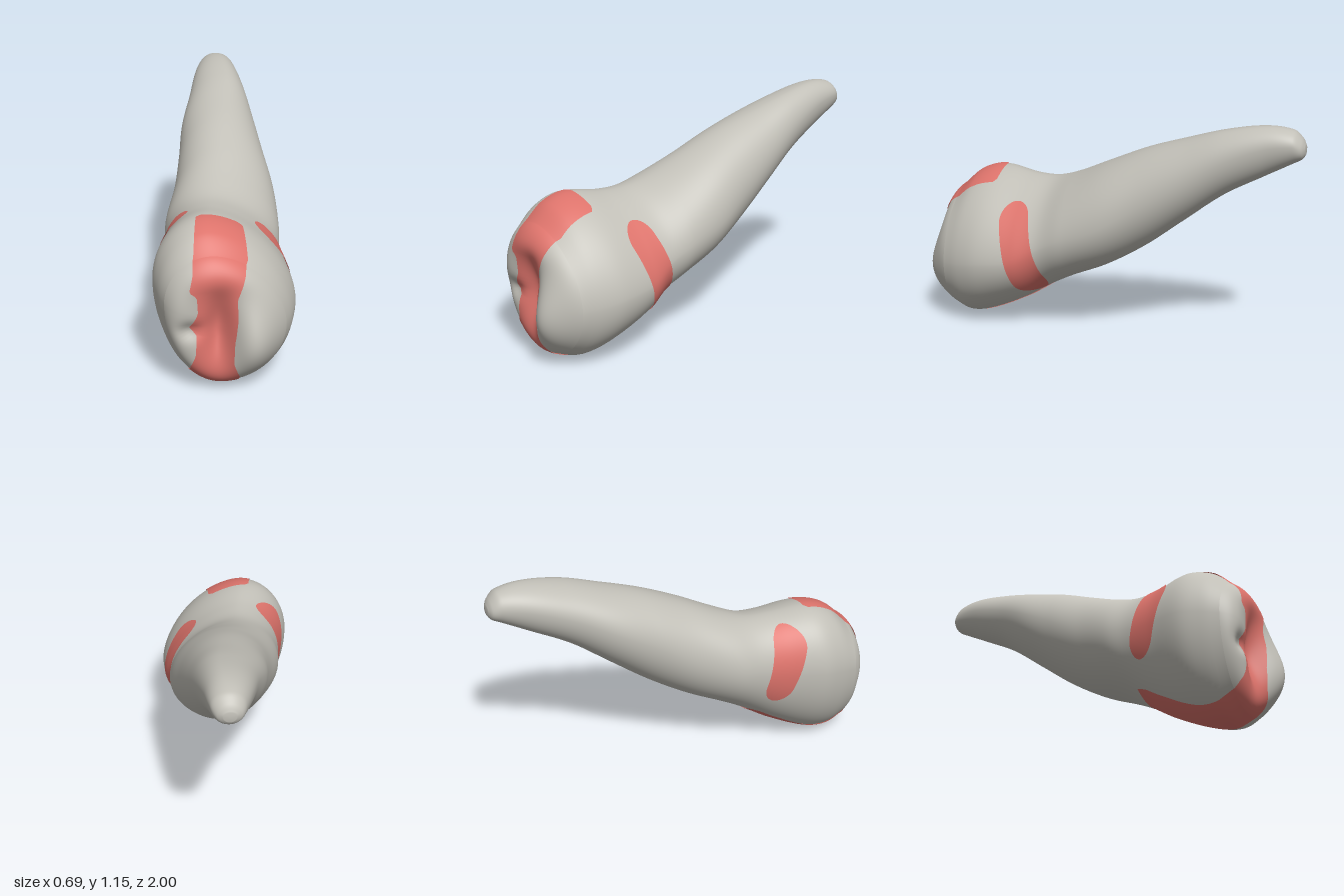
import * as THREE from 'three';

// Cross-sections along the tooth, from root tip to crown:
// z, top y, bottom y, -x side, +x side, x of top, x of bottom, y of -x side, y of +x side,
// roundness of the upper +x quarter (2 is an ellipse, less is flatter)
const SECTIONS = [
  [-1.0, 1.06, 1.01, 0.1, 0.16, 0.13, 0.13, 1.04, 1.04, 2],
  [-0.985, 1.09, 0.99, 0.07, 0.19, 0.13, 0.13, 1.04, 1.04, 2],
  [-0.94, 1.13, 0.965, 0.045, 0.215, 0.13, 0.13, 1.05, 1.06, 2],
  [-0.8, 1.143, 0.89, 0.0, 0.235, 0.14, 0.12, 1.03, 1.04, 2],
  [-0.6, 1.11, 0.78, -0.05, 0.262, 0.14, 0.11, 0.96, 0.96, 2],
  [-0.4, 1.05, 0.63, -0.11, 0.287, 0.11, 0.1, 0.86, 0.84, 2],
  [-0.2, 0.985, 0.48, -0.145, 0.31, 0.08, 0.09, 0.75, 0.72, 2],
  [0.0, 0.9, 0.36, -0.19, 0.335, 0.05, 0.07, 0.63, 0.6, 2],
  [0.2, 0.81, 0.27, -0.25, 0.33, 0.0, 0.04, 0.55, 0.51, 1.85],
  [0.33, 0.77, 0.2, -0.262, 0.313, -0.04, 0.01, 0.52, 0.45, 1.7],
  [0.46, 0.77, 0.12, -0.29, 0.338, -0.06, -0.01, 0.5, 0.38, 1.65],
  [0.65, 0.793, 0.03, -0.348, 0.342, -0.1, -0.03, 0.49, 0.35, 1.7],
  [0.77, 0.76, 0.002, -0.335, 0.31, -0.1, -0.03, 0.47, 0.33, 1.75],
  [0.86, 0.682, 0.035, -0.31, 0.265, -0.09, -0.03, 0.45, 0.32, 1.8],
];
const Z_CAP = 0.86;

// Smooth interpolation of the sections at any z
function section(z) {
  const S = SECTIONS, last = S.length - 1;
  let i = 0;
  while (i < last - 1 && z > S[i + 1][0]) i++;
  const h = S[i + 1][0] - S[i][0];
  const t = THREE.MathUtils.clamp((z - S[i][0]) / h, 0, 1);
  const slope = (k, c) => {
    const a = Math.max(k - 1, 0), b = Math.min(k + 1, last);
    return (S[b][c] - S[a][c]) / (S[b][0] - S[a][0]);
  };
  const v = [1, 2, 3, 4, 5, 6, 7, 8, 9].map((c) =>
    S[i][c] * (1 + 2 * t) * (1 - t) ** 2 + S[i + 1][c] * t * t * (3 - 2 * t) +
    h * (slope(i, c) * t * (1 - t) ** 2 + slope(i + 1, c) * t * t * (t - 1)));
  return { yt: v[0], yb: v[1], xl: v[2], xr: v[3], xt: v[4], xb: v[5], yl: v[6], yr: v[7], p: v[8] };
}

// Outline made of four quarter arcs
function outline(s, angle) {
  const c = Math.cos(angle), n = Math.sin(angle);
  const xm = n >= 0 ? s.xt : s.xb, ym = c >= 0 ? s.yr : s.yl;
  const e = c >= 0 && n >= 0 ? 2 / s.p : 1;
  return [
    xm + Math.abs(c) ** e * ((c >= 0 ? s.xr : s.xl) - xm),
    ym + Math.abs(n) ** e * ((n >= 0 ? s.yt : s.yb) - ym),
  ];
}
const arc = (q, p) => Math.max(0, 1 - Math.abs(q) ** p) ** (1 / p);

// y of the upper or lower surface above a given x
function surfaceY(s, x, upper) {
  const xm = upper ? s.xt : s.xb, right = x >= xm;
  const ym = right ? s.yr : s.yl;
  return ym + ((upper ? s.yt : s.yb) - ym) * arc((x - xm) / ((right ? s.xr : s.xl) - xm), right && upper ? s.p : 2);
}

// x of the side surface at a given y
function surfaceX(s, y, side) {
  const ym = side > 0 ? s.yr : s.yl, upper = y >= ym;
  const xm = upper ? s.xt : s.xb;
  return xm + ((side > 0 ? s.xr : s.xl) - xm) * arc((y - ym) / ((upper ? s.yt : s.yb) - ym), side > 0 && upper ? s.p : 2);
}

// Chewing surface: dome with cusps, central groove and side notch
// x, y, spread x, spread y, height
const BUMPS = [
  [0.11, 0.25, 0.12, 0.2, 0.085],
  [-0.26, 0.47, 0.07, 0.12, 0.015],
  [-0.07, 0.59, 0.15, 0.07, 0.02],
  [-0.055, 0.33, 0.07, 0.17, -0.075],
  [-0.2, 0.33, 0.06, 0.045, -0.035],
];
const capSection = section(Z_CAP);
function capZ(x, y) {
  const top = surfaceY(capSection, x, true), bottom = surfaceY(capSection, x, false);
  const w = 1 - Math.exp(-40 * Math.max(0, (top - y) * (y - bottom)));
  let z = Z_CAP + 0.065 * w;
  for (const [bx, by, sx, sy, h] of BUMPS) z += w * w * h * Math.exp(-(((x - bx) / sx) ** 2) - ((y - by) / sy) ** 2);
  return z;
}

function makeGeometry(positions, index) {
  const g = new THREE.BufferGeometry();
  g.setAttribute('position', new THREE.Float32BufferAttribute(positions, 3));
  g.setIndex(index);
  g.computeVertexNormals();
  return g;
}

// Root and crown in one skin
function bodyGeometry() {
  const N = 112, LOFT = 110, CAP = 44, pos = [], index = [];
  const rings = LOFT + CAP;
  for (let i = 0; i < rings; i++) {
    const z = -1 + (Z_CAP + 1) * Math.min(1, i / LOFT) ** 1.4;
    const s = section(z);
    const shrink = i <= LOFT ? 1 : Math.cos(((i - LOFT) / CAP) * Math.PI / 2);
    for (let j = 0; j < N; j++) {
      let [x, y] = outline(s, (j / N) * Math.PI * 2);
      x = -0.05 + (x + 0.05) * shrink;
      y = 0.38 + (y - 0.38) * shrink;
      pos.push(x, y, i <= LOFT ? z : capZ(x, y));
    }
  }
  for (let i = 0; i < rings - 1; i++) {
    for (let j = 0; j < N; j++) {
      const k = (j + 1) % N, a = i * N + j, b = i * N + k;
      index.push(a, b, a + N, b, b + N, a + N);
    }
  }
  const tip = rings * N;
  pos.push(0.13, 1.035, -1.002, -0.05, 0.38, capZ(-0.05, 0.38));
  for (let j = 0; j < N; j++) {
    const k = (j + 1) % N;
    index.push(tip, k, j, tip + 1, (rings - 1) * N + j, (rings - 1) * N + k);
  }
  return makeGeometry(pos, index);
}

// Grid lying on the skin, lifted slightly along its normals
function patchGeometry(rows, cols, point) {
  const pos = [], index = [], lift = 0.004;
  for (let r = 0; r <= rows; r++) for (let c = 0; c <= cols; c++) pos.push(...point(r / rows, c / cols));
  for (let r = 0; r < rows; r++) {
    for (let c = 0; c < cols; c++) {
      const a = r * (cols + 1) + c, b = a + cols + 1;
      index.push(a, b, a + 1, a + 1, b, b + 1);
    }
  }
  const g = makeGeometry(pos, index), p = g.attributes.position, n = g.attributes.normal;
  for (let i = 0; i < p.count; i++) {
    p.setXYZ(i, p.getX(i) + n.getX(i) * lift, p.getY(i) + n.getY(i) * lift, p.getZ(i) + n.getZ(i) * lift);
  }
  return g;
}

// Band edges: station (0-1 top, 1-2 chewing face, 2-3 underside), -x edge, +x edge
const BAND = [
  [0, -0.115, 0.055], [0.07, -0.14, 0.08], [0.9, -0.17, 0.08], [1.08, -0.18, 0.06], [1.22, -0.2, 0.035],
  [1.27, -0.165, 0.025], [1.42, -0.16, 0.03], [1.57, -0.2, 0.02], [1.62, -0.165, 0.015], [1.8, -0.17, 0.01],
  [1.94, -0.19, 0.04], [2.1, -0.19, 0.03], [2.9, -0.15, 0.03], [3, -0.13, 0.01],
];
function bandPoint(u, a) {
  const part = Math.min(2, Math.floor(u * 3 + 1e-9)), f = u * 3 - part;
  const t = part === 1 ? (1 - Math.cos(Math.PI * f)) / 2 : f;
  const p = part + t;
  let i = 0;
  while (i < BAND.length - 2 && p > BAND[i + 1][0]) i++;
  const k = (p - BAND[i][0]) / (BAND[i + 1][0] - BAND[i][0]);
  const edge = (c) => THREE.MathUtils.lerp(BAND[i][c], BAND[i + 1][c], k);
  const x = THREE.MathUtils.lerp(edge(1), edge(2), a);
  if (part === 1) {
    const y = THREE.MathUtils.lerp(surfaceY(capSection, x, true), surfaceY(capSection, x, false), t);
    return [x, y, capZ(x, y)];
  }
  const z = part === 0 ? 0.63 + (Z_CAP - 0.63) * t : Z_CAP + (0.32 - Z_CAP) * t;
  return [x, surfaceY(section(z), x, part === 0), z];
}

// Rounded strip on one side of the neck, tapering downwards
function sidePoint({ side, z0, y0, half, w, taper }, u, a) {
  const dz = -0.26, dy = -0.966;
  const l = half * Math.sin((u - 0.5) * Math.PI);
  const over = Math.max(0, Math.abs(l) - (half - w));
  const width = Math.max(0.008, Math.sqrt(Math.max(0, w * w - over * over))) * (1 - taper * u);
  const across = (a * 2 - 1) * width * side;
  const z = z0 + dz * l + dy * across, y = y0 + dy * l - dz * across;
  return [surfaceX(section(z), y, side), y, z];
}
const LEFT_PATCH = { side: 1, z0: 0.425, y0: 0.435, half: 0.24, w: 0.078, taper: 0 };
const RIGHT_PATCH = { side: -1, z0: 0.45, y0: 0.545, half: 0.205, w: 0.09, taper: 0.3 };

export function createModel() {
  const enamel = new THREE.MeshStandardMaterial({ color: 0xc2c0b8 });
  enamel.name = 'ivory grey';
  const marked = new THREE.MeshStandardMaterial({ color: 0xdd736b, side: THREE.DoubleSide });
  marked.name = 'coral red';

  const group = new THREE.Group();
  group.name = 'tooth';
  const add = (name, geometry, material) => {
    const mesh = new THREE.Mesh(geometry, material);
    mesh.name = name;
    group.add(mesh);
  };
  add('toothBody', bodyGeometry(), enamel);
  add('crownBand', patchGeometry(150, 24, bandPoint), marked);
  add('leftNeckPatch', patchGeometry(40, 14, (u, a) => sidePoint(LEFT_PATCH, u, a)), marked);
  add('rightNeckPatch', patchGeometry(40, 14, (u, a) => sidePoint(RIGHT_PATCH, u, a)), marked);
  return group;
}
